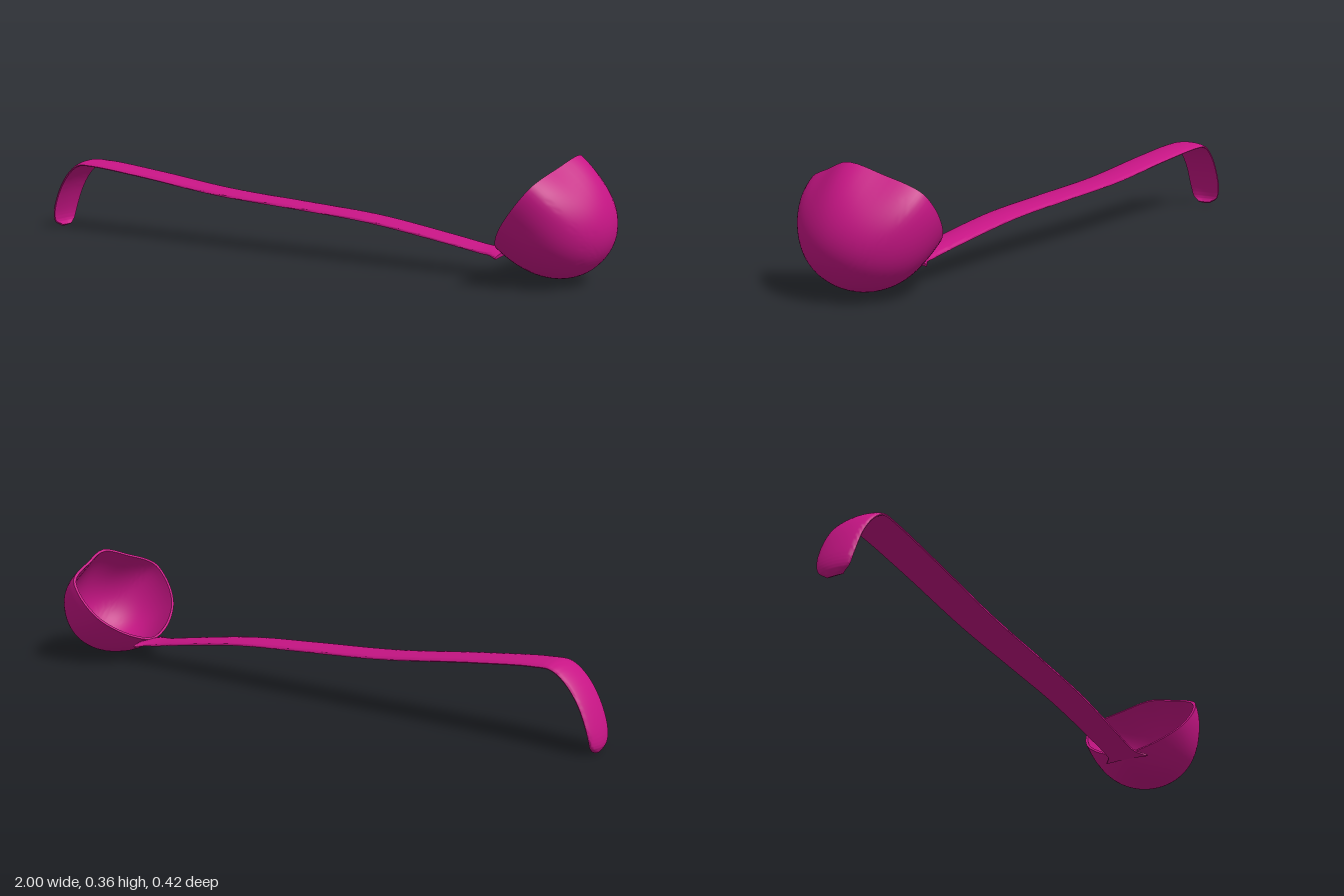
import * as THREE from 'three';
import { toCreasedNormals } from 'three/addons/utils/BufferGeometryUtils.js';

// Surface from a grid of points: rows run along it, columns wrap around it
function loft(rows, cols, pointAt) {
  const pos = [], index = [];
  for (let i = 0; i <= rows; i++)
    for (let j = 0; j < cols; j++) pos.push(...pointAt(i, j));
  for (let i = 0; i < rows; i++)
    for (let j = 0; j < cols; j++) {
      const a = i * cols + j, b = i * cols + (j + 1) % cols;
      index.push(a, a + cols, b + cols, a, b + cols, b);
    }
  const geo = new THREE.BufferGeometry();
  geo.setAttribute('position', new THREE.Float32BufferAttribute(pos, 3));
  geo.setIndex(index);
  return toCreasedNormals(geo, 0.9);
}

// Tilted bowl: half an ellipsoid whose rim is squared at the sides and pointed at the lip
function bowlGeometry() {
  const L = 0.178, W = 0.21, D = 0.237, wall = 0.009;
  const half = [[-0.18, 0], [-0.162, 0.065], [-0.12, 0.132], [-0.06, 0.186], [0.02, 0.21],
    [0.085, 0.202], [0.112, 0.175], [0.146, 0.1], [0.183, 0]];
  const loop = [...half, ...half.slice(1, -1).reverse().map(([a, z]) => [a, -z])];
  const rim = new THREE.CatmullRomCurve3(loop.map(([a, z]) => new THREE.Vector3(a, 0, z)), true);
  const cols = 64, steps = 24;
  const rimPoints = Array.from({ length: cols }, (_, j) => rim.getPoint(j / cols));
  return loft(steps * 2 + 1, cols, (i, j) => {
    const inner = i > steps;
    const k = inner ? steps * 2 + 1 - i : i;
    const t = Math.max(k / steps, 0.002) * Math.PI / 2;
    const p = rimPoints[j];
    const round = 1 / Math.hypot(p.x / L, p.z / W);
    const s = Math.pow(Math.sin(t), 0.92) *
      THREE.MathUtils.lerp(round, 1, Math.pow(Math.sin(t), 6)) *
      (inner ? 1 - wall / 0.19 : 1);
    const a = p.x * s, z = -p.z * s;
    const depth = (D - (inner ? wall : 0)) * Math.cos(t);
    return [0.78 + 0.618 * a + 0.786 * depth, 0.22 + 0.786 * a - 0.618 * depth, z];
  });
}

// Flat, gently arched strap following the handle line; third value is its half width
function handleGeometry() {
  const path = new THREE.CatmullRomCurve3([
    [-0.978, 0.006, 0.024], [-0.987, 0.022, 0.047], [-0.983, 0.06, 0.058], [-0.952, 0.14, 0.061],
    [-0.91, 0.198, 0.062], [-0.865, 0.229, 0.062], [-0.81, 0.231, 0.061], [-0.6, 0.21, 0.059],
    [-0.3, 0.173, 0.058], [0, 0.152, 0.057], [0.25, 0.133, 0.055], [0.5, 0.096, 0.051],
    [0.62, 0.076, 0.051], [0.655, 0.073, 0.058], [0.685, 0.068, 0.08],
  ].map(p => new THREE.Vector3(...p)));
  const rows = 110, cols = 28;
  return loft(rows + 2, cols, (i, j) => {
    const u = THREE.MathUtils.clamp((i - 1) / rows, 0, 1);
    const size = i === 0 || i === rows + 2 ? 0.001 : 1;
    const p = path.getPoint(u), tan = path.getTangent(u);
    const len = Math.hypot(tan.x, tan.y);
    const phi = j / cols * Math.PI * 2;
    const c = Math.cos(phi), s = Math.sin(phi);
    const arch = 0.007 * (0.5 - c * c);
    const up = (0.0065 * Math.sign(s) * Math.sqrt(Math.abs(s)) + arch) * size;
    return [p.x - tan.y / len * up, p.y + tan.x / len * up, p.z * c * size];
  });
}

export function createModel() {
  const group = new THREE.Group();
  group.name = 'ladle';
  const material = new THREE.MeshStandardMaterial({ color: 0xc71585 });
  const parts = { bowl: bowlGeometry(), handle: handleGeometry() };
  for (const [name, geometry] of Object.entries(parts)) {
    const mesh = new THREE.Mesh(geometry, material);
    mesh.name = name;
    group.add(mesh);
  }
  return group;
}
